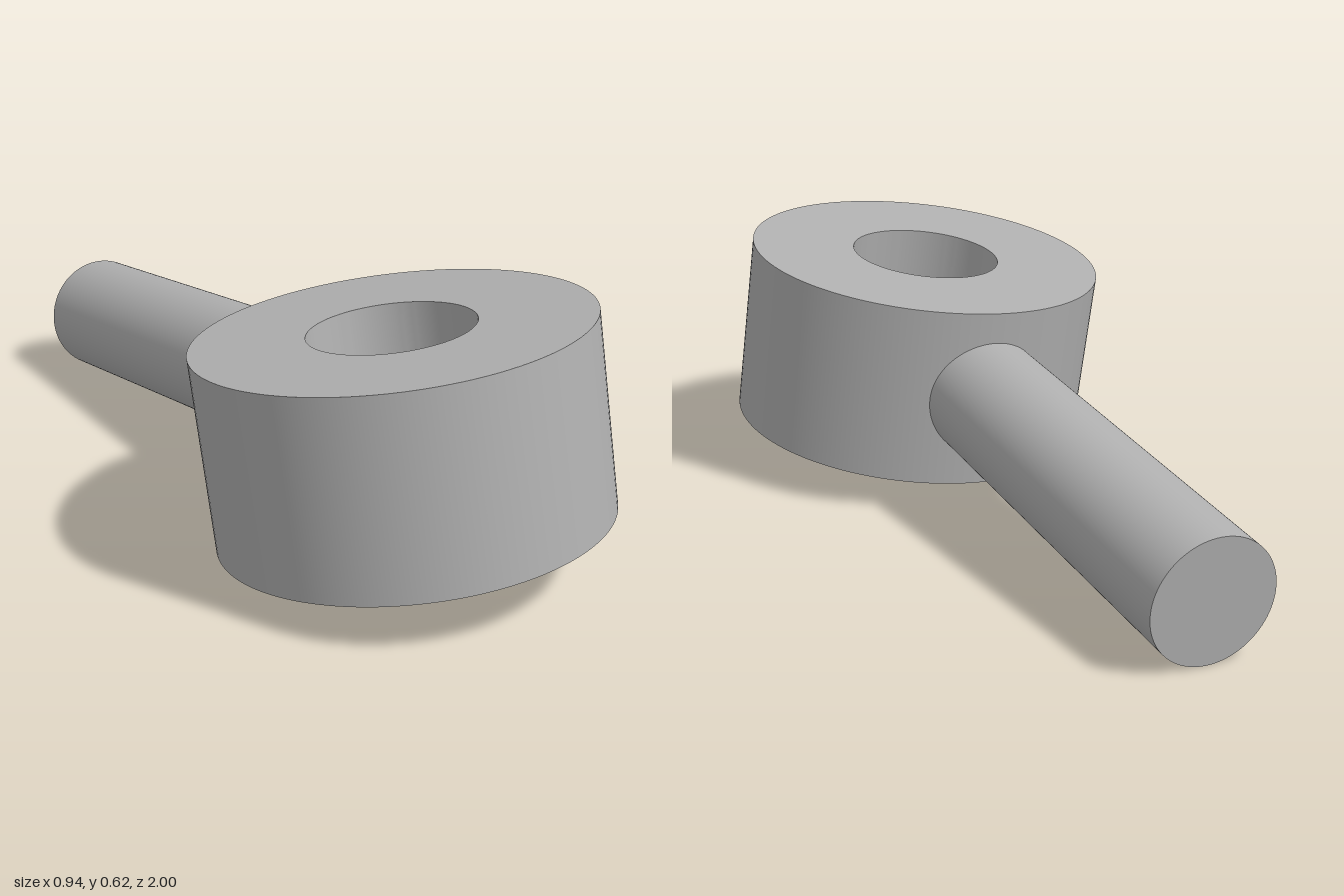
import * as THREE from 'three';
import { toCreasedNormals } from 'three/addons/utils/BufferGeometryUtils.js';

const SIDES = 128;

export function createModel() {
  const model = new THREE.Group();
  model.name = 'ringWithShaft';
  const grey = new THREE.MeshStandardMaterial({ color: 0xb0b0b0 });
  grey.name = 'plain grey';

  // Thick collar with a through hole, revolved about its own axis
  const outer = 0.452, inner = 0.19, half = 0.2275;
  const profile = [[outer, -half], [outer, half], [inner, half], [inner, -half], [outer, -half]]
    .map(([r, y]) => new THREE.Vector2(r, y));
  const collar = new THREE.Mesh(
    toCreasedNormals(new THREE.LatheGeometry(profile, SIDES), 0.6), grey);
  collar.name = 'collar';
  model.add(collar);

  // Round shaft, rooted in the collar wall and aimed at the collar's centre
  const start = 0.35, end = 1.515;
  const shaft = new THREE.Mesh(
    new THREE.CylinderGeometry(0.15, 0.15, end - start, SIDES), grey);
  shaft.name = 'shaft';
  shaft.rotation.x = Math.PI / 2;
  shaft.position.z = -(start + end) / 2;
  model.add(shaft);

  // Tilt the whole part: z runs against the shaft, y along the collar axis
  const zAxis = new THREE.Vector3(0.039, 0.118, 1).normalize();
  const xAxis = new THREE.Vector3(-0.089, 0.989, -0.118).cross(zAxis).normalize();
  const yAxis = zAxis.clone().cross(xAxis);
  model.quaternion.setFromRotationMatrix(new THREE.Matrix4().makeBasis(xAxis, yAxis, zAxis));
  model.position.set(0, 0.328, 0.521);

  const root = new THREE.Group();
  root.name = 'model';
  root.add(model);
  return root;
}
